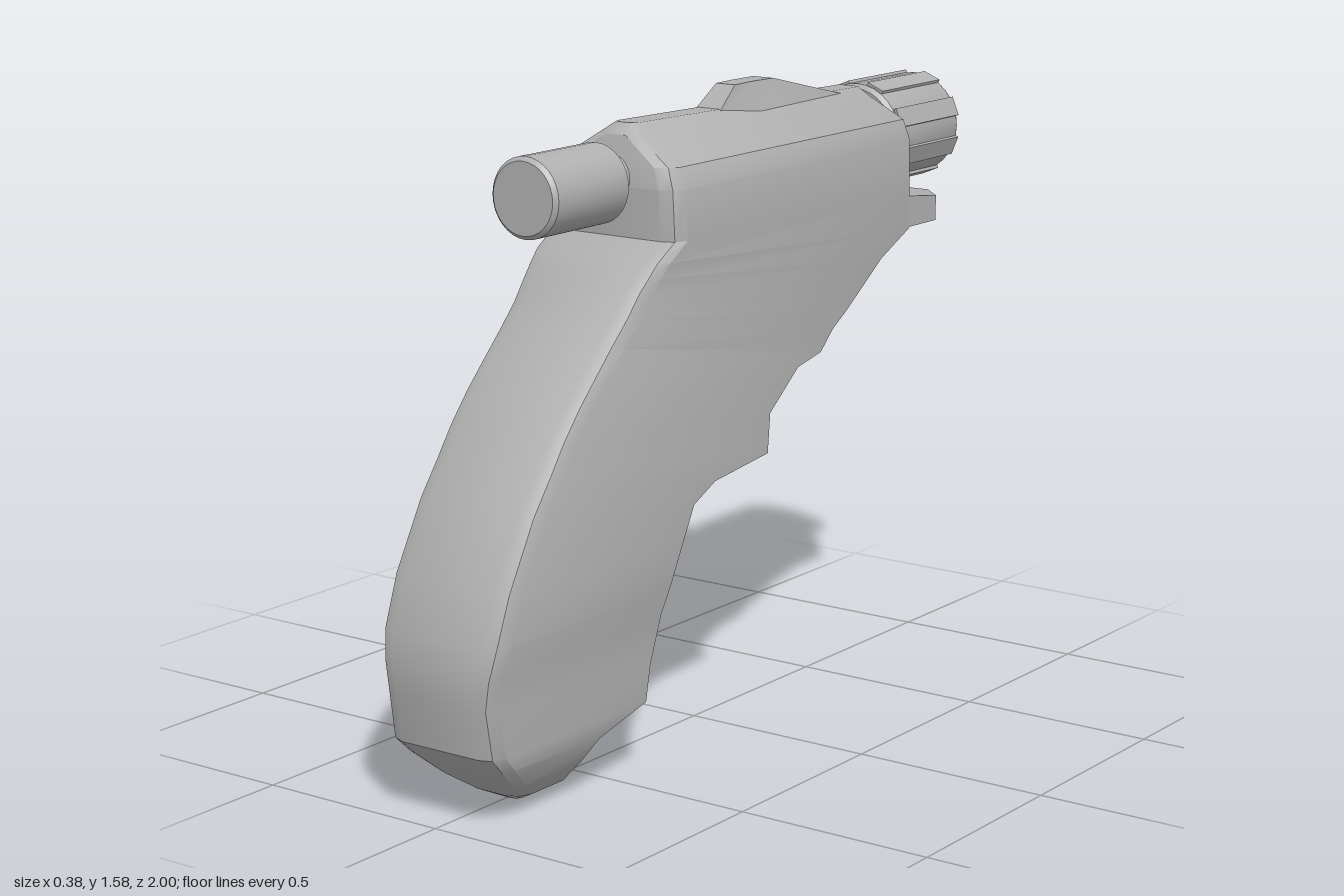
import * as THREE from 'three';
import { toCreasedNormals, mergeGeometries } from 'three/addons/utils/BufferGeometryUtils.js';

const grey = new THREE.MeshStandardMaterial({ color: 0xb0b0b0 });
grey.name = 'plain grey';

// Skin a stack of equal-length loops and close both ends
function loft(loops, crease = 0.5) {
  const n = loops[0].length, pos = [], idx = [];
  loops.forEach(loop => loop.forEach(p => pos.push(...p)));
  for (let s = 0; s < loops.length - 1; s++)
    for (let i = 0; i < n; i++) {
      const j = (i + 1) % n, a = s * n, b = a + n;
      idx.push(a + i, a + j, b + j, a + i, b + j, b + i);
    }
  [0, loops.length - 1].forEach((s, end) => {
    const c = pos.length / 3, loop = loops[s];
    pos.push(...[0, 1, 2].map(k => loop.reduce((t, p) => t + p[k], 0) / n));
    for (let i = 0; i < n; i++) {
      const a = s * n + i, b = s * n + (i + 1) % n;
      if (end) idx.push(a, b, c); else idx.push(b, a, c);
    }
  });
  const g = new THREE.BufferGeometry();
  g.setAttribute('position', new THREE.Float32BufferAttribute(pos, 3));
  g.setIndex(idx);
  return toCreasedNormals(g, crease);
}

// Add the mirrored half to the +x points of a loop
const mirrored = half => [...half, ...half.slice().reverse().map(([x, y, z]) => [-x, y, z])];

// Round part along z, from [radius, z] points, centred at height y
function turned(profile, y, segments = 32) {
  const g = new THREE.LatheGeometry(profile.map(([r, z]) => new THREE.Vector2(r, z)), segments);
  g.rotateX(Math.PI / 2);
  g.translate(0, y, 0);
  return toCreasedNormals(g, 0.6);
}

// Body section: rounded front corners, chamfered rear edge
function bodySection([zf, yf, zb, yb, w, cb = 0.04, bx = 0.05]) {
  const len = Math.hypot(zb - zf, yb - yf), dz = (zb - zf) / len, dy = (yb - yf) / len;
  const c = Math.min(0.045, w * 0.6);
  const at = (x, d) => [x, yf + dy * d, zf + dz * d];
  return mirrored([
    at(w - c, 0), at(w - c * 0.3, c * 0.3), at(w, c),
    at(w, len - cb), at(w - Math.min(bx, w * 0.6), len),
  ]);
}

export function createModel() {
  const model = new THREE.Group();
  const add = (name, geometry) => {
    const mesh = new THREE.Mesh(geometry, grey);
    mesh.name = name;
    model.add(mesh);
  };

  // Grip and upper housing: front z, y, rear z, y, half width, rear chamfer
  add('body', loft([
    [0.74, 0.00, 0.61, 0.00, 0.03],
    [0.80, 0.03, 0.60, 0.03, 0.085],
    [0.87, 0.08, 0.58, 0.08, 0.125],
    [0.94, 0.14, 0.54, 0.13, 0.15],
    [0.98, 0.18, 0.37, 0.175, 0.157],
    [1.00, 0.30, 0.35, 0.26, 0.155],
    [1.00, 0.37, 0.32, 0.38, 0.165],
    [0.985, 0.44, 0.295, 0.45, 0.176],
    [0.94, 0.56, 0.25, 0.54, 0.178],
    [0.85, 0.72, 0.205, 0.62, 0.178],
    [0.79, 0.80, 0.13, 0.66, 0.178, 0.03],
    [0.74, 0.87, -0.11, 0.68, 0.178, 0.05, 0.08],
    [0.68, 0.94, -0.12, 0.78, 0.178, 0.05, 0.08],
    [0.62, 1.00, -0.21, 0.88, 0.178, 0.02, 0.08],
    [0.56, 1.06, -0.31, 0.90, 0.178, 0.02],
    [0.50, 1.12, -0.36, 0.95, 0.18, 0.02],
    [0.46, 1.17, -0.42, 0.99, 0.183, 0.02],
    [0.43, 1.20, -0.57, 1.10, 0.187, 0.02],
    [0.40, 1.23, -0.68, 1.16, 0.19, 0.01, 0.01],
    [0.335, 1.27, -0.68, 1.25, 0.192, 0.01, 0.01],
    [0.34, 1.39, -0.68, 1.39, 0.19, 0.01, 0.01],
    [0.33, 1.44, -0.68, 1.44, 0.17, 0.01, 0.01],
    [0.31, 1.505, -0.68, 1.49, 0.07, 0.01, 0.01],
    [0.28, 1.53, -0.68, 1.512, 0.032, 0.01, 0.01],
  ].map(bodySection)));

  // Raised ridge on top
  add('topSight', loft([
    mirrored([[0.04, 1.50, -0.03], [0.06, 1.495, -0.2], [0.045, 1.50, -0.60]]),
    mirrored([[0.028, 1.575, -0.13], [0.028, 1.576, -0.2], [0.03, 1.575, -0.29]]),
  ], 0.3));

  // Tapered shelf below the muzzle
  const plan = [[0.19, -0.5], [0.19, -0.8], [0.06, -0.97]];
  add('muzzleShelf', loft([
    mirrored(plan.map(([x, z]) => [x, 1.165, z])),
    mirrored(plan.map(([x, z]) => [x, 1.25 + 0.12 * (z + 0.63), z])),
  ], 0.3));

  // Wedge that carries the hose nozzle
  add('nozzleMount', loft([
    mirrored([[0.165, 0.985, -0.40], [0.06, 0.995, -0.59]]),
    mirrored([[0.17, 1.09, -0.38], [0.06, 1.115, -0.59]]),
  ], 0.3));

  // Narrow trigger lever
  const lever = [[-0.05, 0.69], [-0.12, 0.69], [-0.15, 0.75], [-0.165, 0.80],
    [-0.24, 0.86], [-0.31, 0.89], [-0.28, 0.93], [-0.1, 0.85]];
  add('trigger', loft([-0.035, 0.035].map(x => lever.map(([z, y]) => [x, y, z])), 0.3));

  // Ribbed hollow nozzle
  add('hoseNozzle', turned([
    [0, -0.63], [0.035, -0.63], [0.035, -0.72], [0.052, -0.72], [0.058, -0.71],
    [0.058, -0.695], [0.05, -0.69], [0.05, -0.675], [0.058, -0.67], [0.058, -0.655],
    [0.05, -0.65], [0.05, -0.635], [0.058, -0.63], [0.058, -0.61], [0.05, -0.605], [0.05, -0.57],
  ], 1.053, 20));

  // Rear plunger with its neck
  add('plunger', turned([
    [0.06, 0.30], [0.06, 0.38], [0.088, 0.38], [0.096, 0.388],
    [0.096, 0.648], [0.086, 0.658], [0, 0.658],
  ], 1.4));

  // Hollow muzzle knob with its neck
  add('muzzleKnob', turned([
    [0, -0.74], [0.105, -0.74], [0.108, -1.0], [0.127, -1.0], [0.131, -0.992],
    [0.131, -0.715], [0.12, -0.705], [0.095, -0.705], [0.095, -0.66],
  ], 1.382));

  // Grip ribs around the knob
  const ribs = [];
  for (let i = 0; i < 8; i++) {
    const rib = new THREE.BoxGeometry(0.05, 0.02, 0.275);
    rib.translate(0, 0.1265, -0.8565);
    rib.rotateZ((i + 0.5) * Math.PI / 4);
    rib.translate(0, 1.382, 0);
    ribs.push(rib);
  }
  add('knobRibs', mergeGeometries(ribs));

  return model;
}
